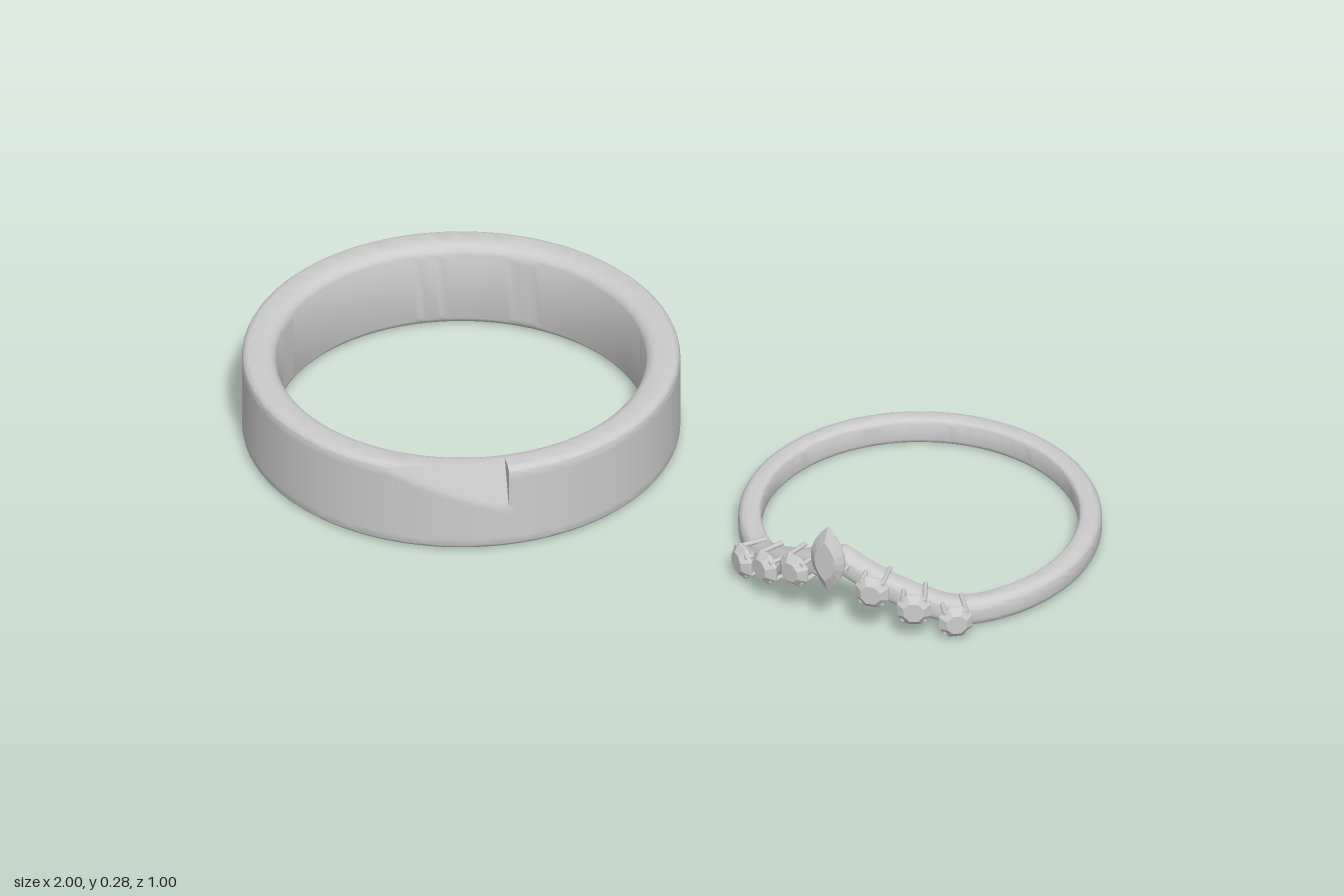
import * as THREE from 'three';
import { toCreasedNormals } from 'three/addons/utils/BufferGeometryUtils.js';
import { ConvexGeometry } from 'three/addons/geometries/ConvexGeometry.js';

const material = new THREE.MeshStandardMaterial({ color: 0xcccccc });
const gemMaterial = new THREE.MeshStandardMaterial({ color: 0xcccccc, flatShading: true });

function add(parent, geometry, name, mat = material) {
  const mesh = new THREE.Mesh(geometry, mat);
  mesh.name = name;
  parent.add(mesh);
  return mesh;
}

// Counter-clockwise band section in (radius, height); rows split the outer wall
function bandProfile(r0, r1, h, cOut, cIn, rows) {
  const pts = [];
  const corner = (r, y, c, start) => {
    for (let i = 0; i <= 5; i++) {
      const a = start + (i / 5) * Math.PI / 2;
      pts.push([r + c * Math.cos(a), y + c * Math.sin(a)]);
    }
  };
  corner(r1 - cOut, cOut, cOut, -Math.PI / 2);
  for (let i = 1; i < rows; i++) pts.push([r1, cOut + (h - 2 * cOut) * i / rows]);
  corner(r1 - cOut, h - cOut, cOut, 0);
  corner(r0 + cIn, h - cIn, cIn, Math.PI / 2);
  corner(r0 + cIn, cIn, cIn, Math.PI);
  return pts;
}

// Sweep a section around y; warp(r, y, angle) reshapes it on the way
function sweepRing(profile, angles, warp) {
  const pos = [], idx = [], n = profile.length;
  for (const a of angles) {
    for (const [r, y] of profile) {
      const [R, Y] = warp(r, y, a);
      pos.push(R * Math.sin(a), Y, R * Math.cos(a));
    }
  }
  for (let j = 0; j < angles.length - 1; j++) {
    for (let i = 0; i < n; i++) {
      const k = (i + 1) % n;
      const a = j * n + i, b = a + n, c = j * n + k, d = c + n;
      idx.push(a, b, c, b, d, c);
    }
  }
  const g = new THREE.BufferGeometry();
  g.setAttribute('position', new THREE.Float32BufferAttribute(pos, 3));
  g.setIndex(idx);
  return toCreasedNormals(g, 0.5);
}

// Faceted stone: table, girdle and culet from one outline, facing +z
function gemGeometry(outline, crown, depth, culet) {
  const pts = [];
  for (const [x, y] of outline) {
    pts.push(new THREE.Vector3(x * 0.6, y * 0.6, crown));
    pts.push(new THREE.Vector3(x, y, 0.003), new THREE.Vector3(x, y, -0.003));
    pts.push(new THREE.Vector3(x * culet, y * culet, -depth));
  }
  return new ConvexGeometry(pts);
}

export function createModel() {
  const model = new THREE.Group();
  model.name = 'ringPair';
  const N = 160, TAU = Math.PI * 2;

  // Wide band with a wedge-shaped cut that deepens up to a sharp step
  const wide = new THREE.Group();
  wide.name = 'wideRing';
  wide.position.set(-0.51, 0, -0.0125);
  model.add(wide);
  const step = 0.565, start = -0.1, outer = 0.488, height = 0.21;
  const wideAngles = Array.from({ length: N + 1 }, (_, j) => step + TAU * j / N);
  wideAngles.push(step + TAU + 1e-5); // closes the step face
  const cut = (r, y, a) => {
    const t = a - TAU;
    const s = t > step + 5e-6 ? 0 : Math.max(0, (t - start) / (step - start));
    const d = 0.045 * Math.max(0, s - (height - y) / 0.11);
    return [Math.min(r, outer - d), y];
  };
  add(wide, sweepRing(bandProfile(0.41, outer, height, 0.018, 0.03, 16), wideAngles, cut), 'wideBand');

  // Slim band rising to a peak, turned a little off the front
  const slim = new THREE.Group();
  slim.name = 'slimRing';
  slim.position.set(0.5925, 0, 0.035);
  slim.rotation.y = -0.128;
  model.add(slim);
  const slimAngles = Array.from({ length: N + 1 }, (_, j) => TAU * j / N);
  const lift = (r, y, a) => {
    const k = 0.122 - 0.172 * Math.min(a, TAU - a);
    return [r, y + 0.5 * (k + Math.sqrt(k * k + 0.0002))];
  };
  add(slim, sweepRing(bandProfile(0.353, 0.405, 0.064, 0.022, 0.014, 2), slimAngles, lift), 'peakedBand');

  // Stones with their prongs, placed by angle around the slim band
  const prong = new THREE.CylinderGeometry(0.0055, 0.0055, 0.075, 8).rotateX(Math.PI / 2);
  function setStone(name, geometry, angle, r, y, prongs) {
    const setting = new THREE.Group();
    setting.name = name;
    setting.position.set(r * Math.sin(angle), y, r * Math.cos(angle));
    setting.rotation.y = angle;
    add(setting, geometry, 'gem', gemMaterial);
    for (const [x, py] of prongs) add(setting, prong, 'prong').position.set(x, py, -0.03);
    slim.add(setting);
  }

  const octagon = [], pronged = [];
  for (let i = 0; i < 8; i++) {
    const a = (i + 0.5) * TAU / 8;
    octagon.push([0.041 * Math.cos(a), 0.041 * Math.sin(a)]);
  }
  for (let i = 0; i < 4; i++) {
    const a = (i + 0.5) * TAU / 4;
    pronged.push([0.034 * Math.cos(a), 0.034 * Math.sin(a)]);
  }
  const roundGem = gemGeometry(octagon, 0.018, 0.042, 0.15);
  for (const side of [-1, 1]) {
    [0.125, 0.087, 0.05].forEach((y, i) =>
      setStone('roundStone', roundGem, side * (0.225 + 0.215 * i), 0.436, y, pronged));
  }

  // Pointed oval stone at the peak
  const pointed = [];
  for (const side of [-1, 1]) {
    for (let i = 0; i < 8; i++) {
      const t = side * (i / 4 - 1);
      pointed.push([side * 0.042 * (1 - t * t), t * 0.085]);
    }
  }
  setStone('pointedStone', gemGeometry(pointed, 0.018, 0.036, 0.15), 0, 0.45, 0.199,
    [[-0.026, -0.04], [0.026, -0.04]]);

  return model;
}
